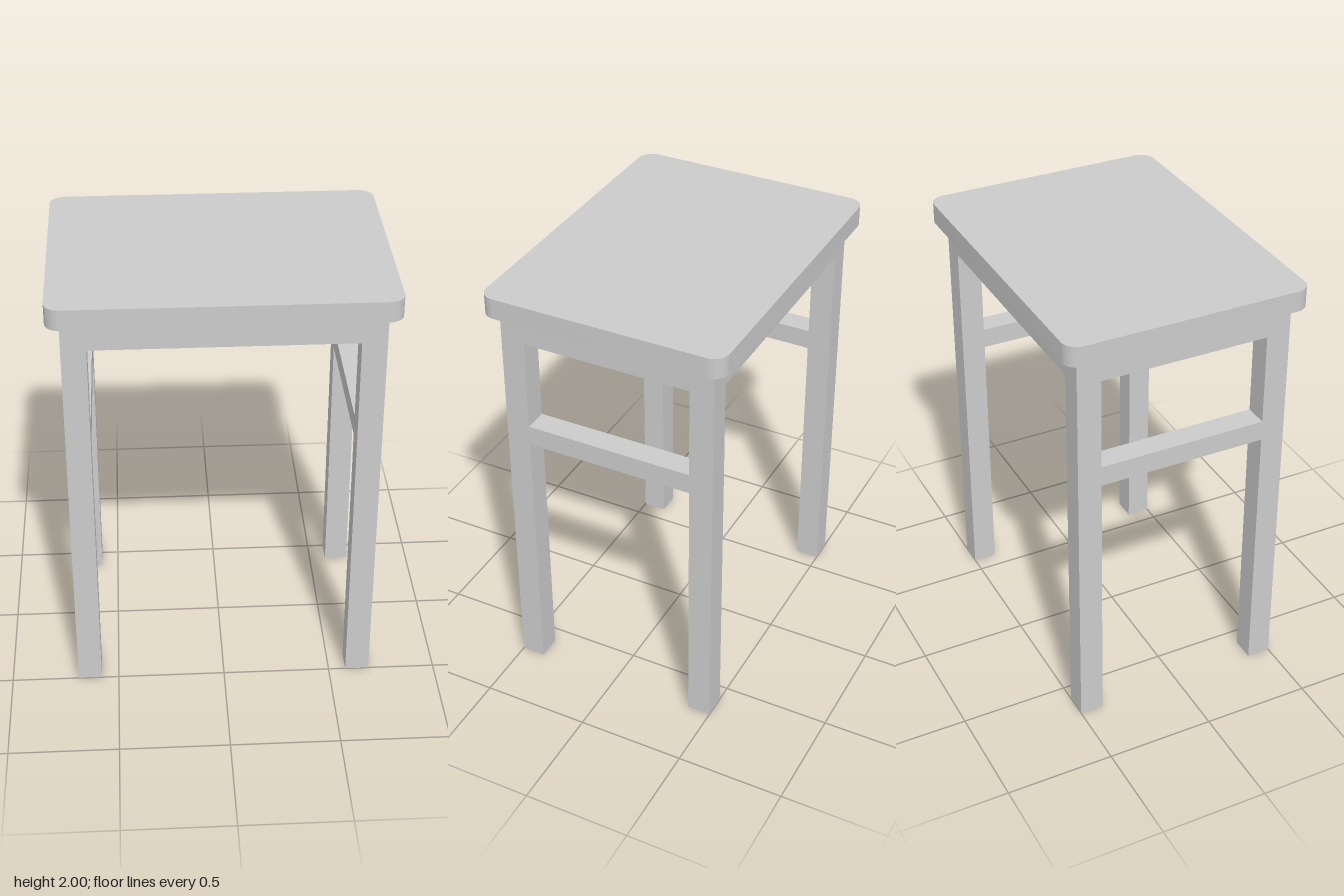
import * as THREE from 'three';
import { toCreasedNormals } from 'three/addons/utils/BufferGeometryUtils.js';

const material = new THREE.MeshStandardMaterial({ color: 0xcccccc });

// Box given by its centre in x and z and its bottom and top heights
function block(name, x, z, width, depth, bottom, top) {
  const mesh = new THREE.Mesh(new THREE.BoxGeometry(width, top - bottom, depth), material);
  mesh.position.set(x, (bottom + top) / 2, z);
  mesh.name = name;
  return mesh;
}

// Flat slab with rounded vertical corners
function roundedSlab(name, halfX, halfZ, radius, bottom, top) {
  const shape = new THREE.Shape();
  const cx = halfX - radius, cz = halfZ - radius;
  shape.absarc(cx, cz, radius, 0, Math.PI / 2);
  shape.absarc(-cx, cz, radius, Math.PI / 2, Math.PI);
  shape.absarc(-cx, -cz, radius, Math.PI, Math.PI * 1.5);
  shape.absarc(cx, -cz, radius, Math.PI * 1.5, Math.PI * 2);
  const geometry = new THREE.ExtrudeGeometry(shape, { depth: top - bottom, bevelEnabled: false, curveSegments: 8 });
  geometry.rotateX(-Math.PI / 2);
  const mesh = new THREE.Mesh(toCreasedNormals(geometry, Math.PI / 6), material);
  mesh.position.y = bottom;
  mesh.name = name;
  return mesh;
}

export function createModel() {
  const stool = new THREE.Group();
  stool.name = 'stool';

  const frameX = 0.69, frameZ = 0.5, leg = 0.11;
  const legX = frameX - leg / 2, legZ = frameZ - leg / 2;
  const apronBottom = 1.775, seatBottom = 1.905;

  // Seat and the solid apron beneath it
  stool.add(roundedSlab('seat', 0.75, 0.563, 0.07, seatBottom, 2));
  stool.add(block('apron', 0, 0, frameX * 2, frameZ * 2, apronBottom, seatBottom));

  // Four legs, with one rail joining each side pair
  for (const [side, sx] of [['left', 1], ['right', -1]]) {
    stool.add(block(side + 'FrontLeg', sx * legX, legZ, leg, leg, 0, apronBottom));
    stool.add(block(side + 'BackLeg', sx * legX, -legZ, leg, leg, 0, apronBottom));
    stool.add(block(side + 'Rail', sx * legX, 0, leg, (frameZ - leg) * 2, 1.255, 1.35));
  }
  return stool;
}
